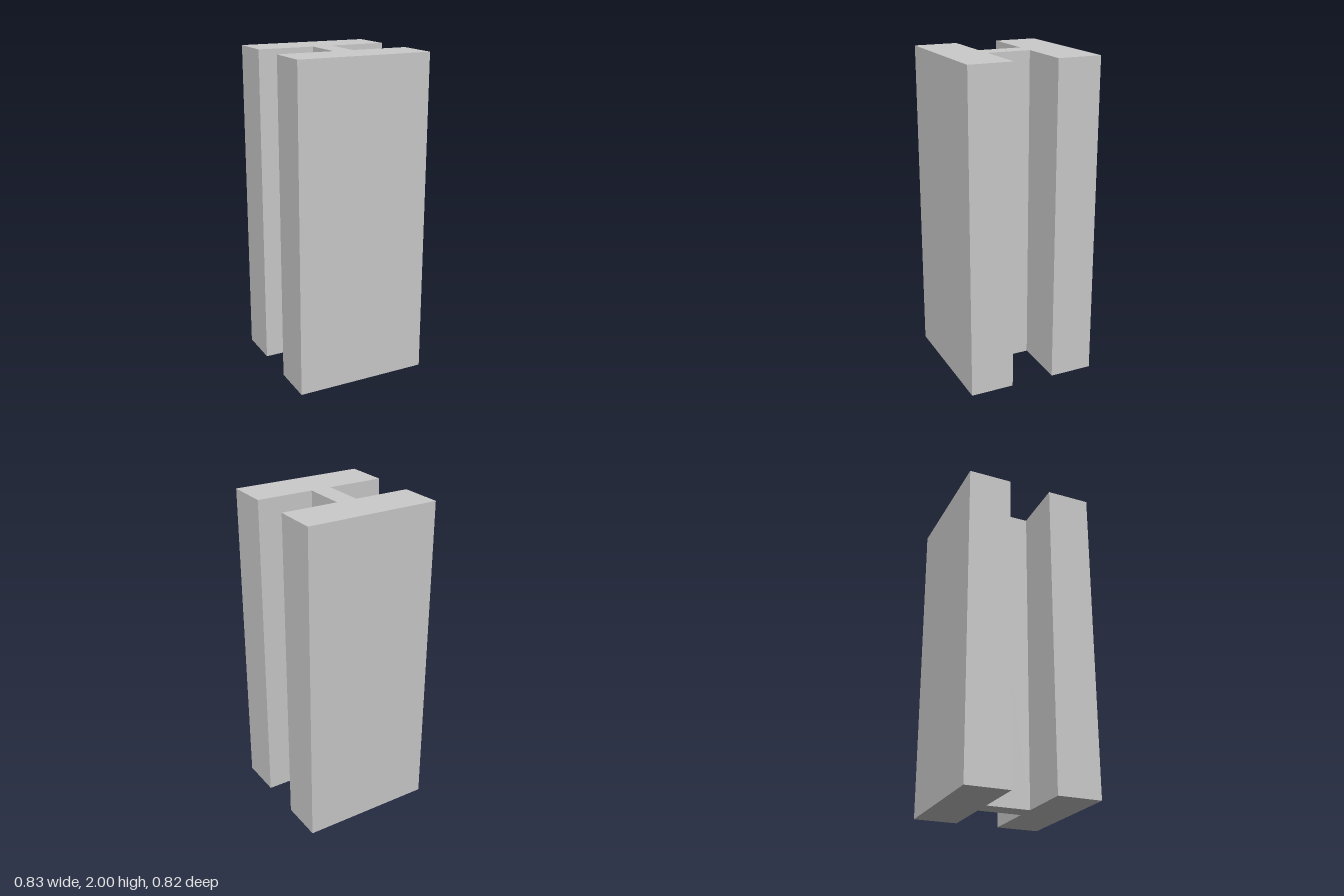
import * as THREE from 'three';

export function createModel() {
  const group = new THREE.Group();
  group.name = 'beam';

  const height = 2;
  const halfWidth = 0.417; // flange half width (x)
  const halfDepth = 0.41;  // overall half depth (z)
  const halfWeb = 0.064;   // web half thickness (x)
  const halfGap = 0.137;   // half distance between the flanges (z)

  // One half of the I-section; the other half is the same turned by 180 degrees
  const half = [
    [-halfWidth, -halfDepth], [halfWidth, -halfDepth], [halfWidth, -halfGap],
    [halfWeb, -halfGap], [halfWeb, halfGap], [halfWidth, halfGap],
  ];
  const section = [...half, ...half.map(([x, z]) => [-x, -z])];
  const shape = new THREE.Shape(section.map(([x, z]) => new THREE.Vector2(x, z)));

  // Extrude the section and stand it upright
  const geometry = new THREE.ExtrudeGeometry(shape, { depth: height, bevelEnabled: false });
  geometry.rotateX(-Math.PI / 2);

  const beam = new THREE.Mesh(
    geometry,
    new THREE.MeshStandardMaterial({ color: 0xcccccc, flatShading: true }),
  );
  beam.name = 'iBeam';
  group.add(beam);
  return group;
}
